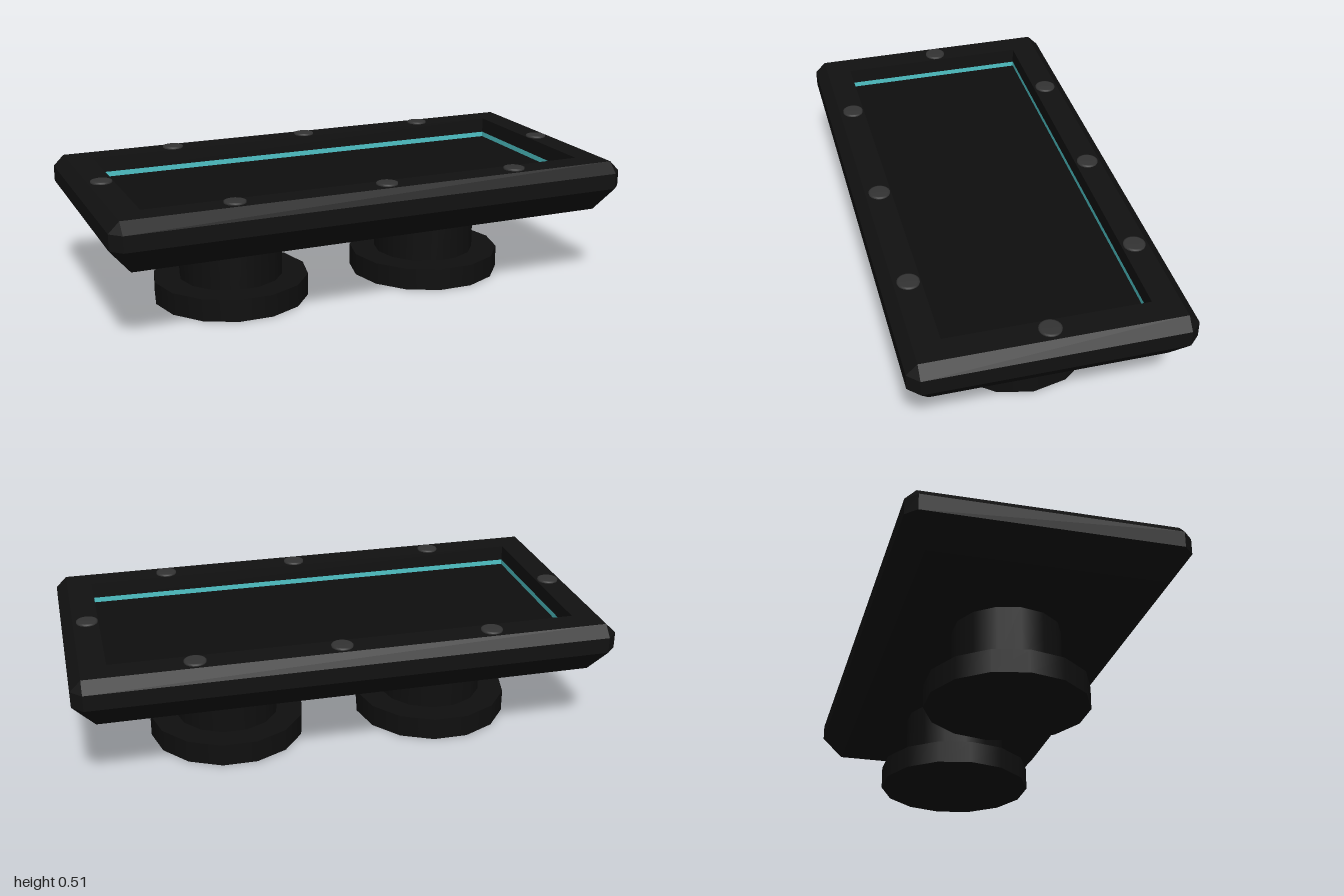
import * as THREE from 'three';

const dark = new THREE.MeshStandardMaterial({ color: 0x111111, flatShading: true });
const floorMat = new THREE.MeshStandardMaterial({ color: 0x0e0e0e, flatShading: true });
const legMat = new THREE.MeshStandardMaterial({ color: 0x0f0f0f });
const boltMat = new THREE.MeshStandardMaterial({ color: 0x333333 });
const glow = new THREE.MeshStandardMaterial({ color: 0x4fc3c7, flatShading: true });

// Rectangle with cut corners, counter-clockwise seen from above
function ring([y, hx, hz, cut = 0]) {
  const a = hx - cut, b = hz - cut;
  return [[hx, b], [hx, -b], [a, -hz], [-a, -hz], [-hx, -b], [-hx, b], [-a, hz], [a, hz]]
    .map(([x, z]) => new THREE.Vector3(x, y, z));
}

// Skin a series of rings, leaving out collapsed triangles
function loft(name, sections, material) {
  const rings = sections.map(ring), points = [];
  const tri = (...t) => {
    if (new THREE.Triangle(...t).getArea() > 1e-7) points.push(...t);
  };
  for (let r = 0; r < rings.length - 1; r++) {
    for (let i = 0; i < 8; i++) {
      const j = (i + 1) % 8, p = rings[r], q = rings[r + 1];
      tri(p[i], p[j], q[j]);
      tri(p[i], q[j], q[i]);
    }
  }
  const geometry = new THREE.BufferGeometry().setFromPoints(points);
  geometry.computeVertexNormals();
  const mesh = new THREE.Mesh(geometry, material);
  mesh.name = name;
  return mesh;
}

function cylinder(name, radius, y0, y1) {
  const geometry = new THREE.CylinderGeometry(radius, radius, y1 - y0, 14);
  geometry.rotateY(Math.PI / 2);
  geometry.translate(0, (y0 + y1) / 2, 0);
  const mesh = new THREE.Mesh(geometry, legMat);
  mesh.name = name;
  return mesh;
}

export function createModel() {
  const model = new THREE.Group();
  model.name = 'table';

  // Bevelled top with a sunken centre
  const ix = 0.865, iz = 0.363;
  model.add(
    loft('tabletopFrame', [
      [0.302, 0, 0], [0.302, 0.92, 0.42], [0.4, 1, 0.5, 0.04], [0.46, 1, 0.5, 0.04],
      [0.5, 0.96, 0.46], [0.5, ix, iz], [0.44, ix, iz],
    ], dark),
    loft('lightStrip', [[0.44, ix, iz], [0.42, ix, iz]], glow),
    loft('sunkenPanel', [[0.42, ix, iz], [0.42, 0, 0]], floorMat),
  );

  // Two round pedestals
  for (const x of [-0.43, 0.4]) {
    const pedestal = new THREE.Group();
    pedestal.name = 'pedestal';
    pedestal.add(cylinder('pedestalFoot', 0.3, 0, 0.086), cylinder('pedestalColumn', 0.2, 0.086, 0.31));
    pedestal.position.set(x, 0, -0.012);
    model.add(pedestal);
  }

  // Bolts around the rim
  const boltProfile = [[0.04, 0], [0.04, 0.006], [0.034, 0.008], [0, 0.008]]
    .map(([r, y]) => new THREE.Vector2(r, y));
  const boltGeometry = new THREE.LatheGeometry(boltProfile, 20);
  const spots = [
    [-0.53, -0.41], [0.035, -0.41], [0.563, -0.41], [-0.91, -0.02],
    [0.907, 0.005], [-0.543, 0.407], [0.035, 0.407], [0.563, 0.407],
  ];
  for (const [x, z] of spots) {
    const bolt = new THREE.Mesh(boltGeometry, boltMat);
    bolt.name = 'bolt';
    bolt.position.set(x, 0.5, z);
    model.add(bolt);
  }
  return model;
}
